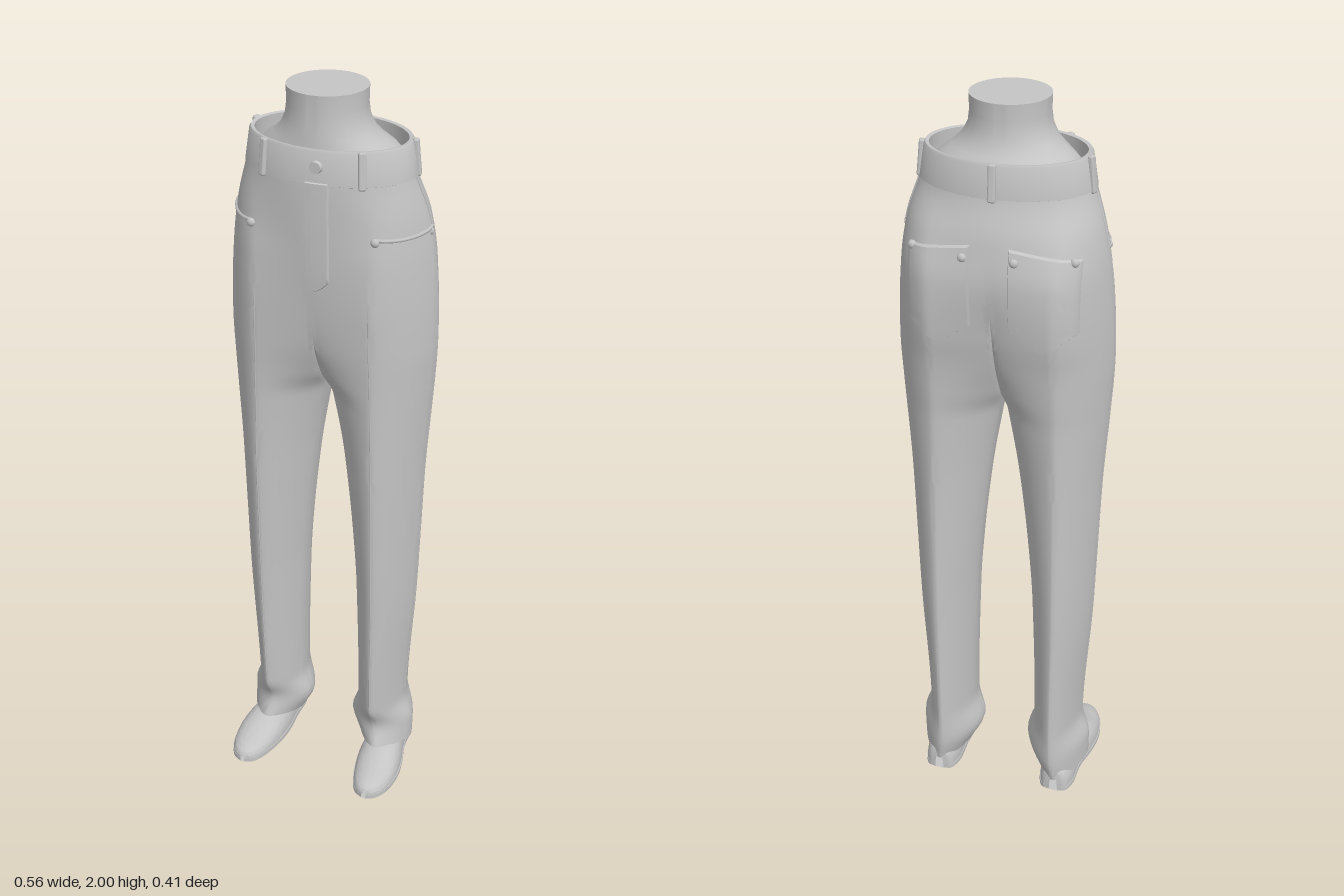
import * as THREE from 'three';
import { toCreasedNormals } from 'three/addons/utils/BufferGeometryUtils.js';
import { RoundedBoxGeometry } from 'three/addons/geometries/RoundedBoxGeometry.js';

const clay = new THREE.MeshStandardMaterial({ color: 0xc4c4c4, side: THREE.DoubleSide });
clay.name = 'light grey clay';

const V = (x, y, z) => new THREE.Vector3(x, y, z);
const mix = THREE.MathUtils.lerp;
const range = (n, f) => Array.from({ length: n + 1 }, (_, i) => f(i / n, i));

// Trouser sections, top to hem:
// y, inner x, crease x, outer x, front z, front centre z, back z, back centre z, waist roundness
const SECTIONS = [
  [1.87, 0, 0.13, 0.195, 0.118, 0.118, -0.14, -0.14, 1],
  [1.80, 0, 0.13, 0.212, 0.127, 0.127, -0.149, -0.149, 1],
  [1.70, 0, 0.14, 0.244, 0.122, 0.128, -0.184, -0.177, 0.6],
  [1.60, 0, 0.145, 0.262, 0.123, 0.126, -0.197, -0.188, 0.2],
  [1.45, 0, 0.15, 0.274, 0.12, 0.114, -0.186, -0.162, 0],
  [1.36, 0, 0.152, 0.276, 0.118, 0.098, -0.174, -0.135, 0],
  [1.27, 0, 0.155, 0.272, 0.115, 0.055, -0.168, -0.09, 0],
  [1.20, 0.01, 0.156, 0.268, 0.114, 0, -0.164, -0.05, 0],
  [1.00, 0.04, 0.16, 0.256, 0.112, -0.02, -0.162, -0.04, 0],
  [0.80, 0.063, 0.161, 0.25, 0.107, -0.02, -0.164, -0.04, 0],
  [0.60, 0.078, 0.162, 0.244, 0.101, -0.02, -0.166, -0.04, 0],
  [0.21, 0.088, 0.16, 0.224, 0.086, -0.02, -0.166, -0.04, 0],
  [0.13, 0.068, 0.162, 0.247, 0.06, -0.02, -0.165, -0.04, 0],
  [0.06, 0.098, 0.17, 0.246, 0.08, -0.02, -0.154, -0.04, 0],
];

// Monotone smooth interpolation of the section values at a height
function sectionAt(y) {
  const S = SECTIONS;
  let k = 0;
  while (k < S.length - 2 && y < S[k + 1][0]) k++;
  const h = S[k + 1][0] - S[k][0], t = THREE.MathUtils.clamp((y - S[k][0]) / h, 0, 1);
  const slope = (i, c) => (S[i + 1][c] - S[i][c]) / (S[i + 1][0] - S[i][0]);
  const tangent = (i, c) => {
    if (i === 0 || i === S.length - 1) return slope(Math.min(i, S.length - 2), c);
    const a = slope(i - 1, c), b = slope(i, c);
    return a * b <= 0 ? 0 : 2 * a * b / (a + b);
  };
  return S[k].map((v, c) => {
    const w = S[k + 1][c], t2 = t * t, t3 = t2 * t;
    return v * (2 * t3 - 3 * t2 + 1) + w * (3 * t2 - 2 * t3)
      + h * (tangent(k, c) * (t3 - 2 * t2 + t) + tangent(k + 1, c) * (t3 - t2));
  });
}

// Point on the left half of the cloth: s runs front centre 0, crease 1, side 2, back crease 3, back centre 4, inner wall 5
function clothPoint(y, s) {
  const [, xi, xc, X, zf, zcf, zb, zcb, round] = sectionAt(y);
  const side = -0.03, q = Math.min(Math.floor(s), 4), a = (s - q) * Math.PI / 2;
  const sn = Math.pow(Math.max(0, Math.sin(a)), 1.36), cs = Math.pow(Math.max(0, Math.cos(a)), 1.36);
  const [x, z] = [
    [xc - (xc - xi) * cs, mix(zcf, zf, sn)],
    [mix(xc, X, sn), mix(side, zf, cs)],
    [mix(xc, X, cs), mix(side, zb, sn)],
    [xc - (xc - xi) * sn, mix(zcb, zb, cs)],
    [xi, mix(zcb, zcf, s - 4)],
  ][q];
  if (q === 4) return V(x, y, z);
  const e = Math.PI * s / 4;
  return V(mix(x, X * Math.sin(e), round), y,
    mix(z, (zcf + zcb) / 2 + (zcf - zcb) / 2 * Math.cos(e), round));
}

// Depth of the cloth at a given x and y
function clothZ(x, y, back) {
  for (let s = 0; s < 2; s += 0.01) {
    const p = clothPoint(y, back ? 4 - s : s);
    if (p.x >= Math.abs(x)) return p.z;
  }
  return -0.03;
}

// Triangles between successive rings; flat faces on the centre plane are dropped
function loft(rings, flip = false, out = []) {
  const add = (...t) => {
    if (t.every(p => Math.abs(p.x) < 1e-5)) return;
    for (const p of flip ? t.reverse() : t) out.push(p.x, p.y, p.z);
  };
  for (let k = 0; k < rings.length - 1; k++)
    for (let j = 0; j < rings[k].length - 1; j++) {
      const a = rings[k][j], b = rings[k][j + 1], c = rings[k + 1][j], d = rings[k + 1][j + 1];
      add(a, c, d);
      add(a, d, b);
    }
  return out;
}

function solid(positions, angle = 0.7) {
  const g = new THREE.BufferGeometry();
  g.setAttribute('position', new THREE.Float32BufferAttribute(positions, 3));
  return toCreasedNormals(g, angle);
}

const mirrored = rings => rings.map(r => r.map(p => V(-p.x, p.y, p.z)));
const oval = (y, rx, rz, cz) => range(64, t => V(rx * Math.sin(t * 2 * Math.PI), y, cz + rz * Math.cos(t * 2 * Math.PI)));

// Thin panel draped on the cloth, with a bevelled edge turned down to the surface
function panel(x0, x1, top, bottom, back, lift) {
  const n = 18, bevel = 0.004;
  const at = i => THREE.MathUtils.clamp((i - 1) / (n - 2), 0, 1);
  const rim = i => (i === 0 ? -bevel : i === n ? bevel : 0);
  return range(n, (_, k) => range(n, (_, i) => {
    const u = at(i), x = mix(x0, x1, u) + Math.sign(x1 - x0) * rim(i);
    const y = mix(top(u), bottom(u), at(k)) - rim(k);
    const up = rim(i) || rim(k) ? -0.002 : lift;
    return V(x, y, clothZ(x, y, back) + (back ? -up : up));
  }));
}

// Shoe stations: z, half width, height
const SHOE = [
  [-0.153, 0.012, 0.05], [-0.145, 0.036, 0.075], [-0.11, 0.05, 0.085], [-0.04, 0.053, 0.09], [0.03, 0.064, 0.085],
  [0.08, 0.066, 0.074], [0.13, 0.059, 0.055], [0.17, 0.046, 0.044], [0.195, 0.028, 0.034], [0.206, 0.006, 0.02],
];
const shoeCurve = new THREE.CatmullRomCurve3(SHOE.map(s => V(...s)));
const shoeX = z => mix(0.172, 0.191, THREE.MathUtils.smoothstep(z, -0.08, 0.17));

function named(name, geometry) {
  const m = new THREE.Mesh(geometry, clay);
  m.name = name;
  return m;
}

function shoe(side) {
  const g = new THREE.Group();
  g.name = side > 0 ? 'leftShoe' : 'rightShoe';
  const upper = range(48, t => {
    const { x: z, y: w, z: h } = shoeCurve.getPoint(t);
    return range(24, u => {
      const a = u * Math.PI;
      return V(side * (shoeX(z) + w * 0.96 * Math.cos(a)), 0.01 + (h - 0.01) * Math.pow(Math.sin(a), 0.8), z);
    });
  });
  g.add(named('shoeUpper', solid(loft(upper, side > 0))));
  // Sole and heel slabs follow the shoe outline
  for (const [name, t0, t1] of [['heel', 0, 0.348], ['sole', 0.352, 1]]) {
    const slab = range(30, t => {
      const { x: z, y: w } = shoeCurve.getPoint(mix(t0, t1, t));
      const l = side * (shoeX(z) - w), r = side * (shoeX(z) + w);
      return [V(l, 0, z), V(r, 0, z), V(r, 0.013, z), V(l, 0.013, z), V(l, 0, z)];
    });
    g.add(named(name, solid(loft(slab, side < 0))));
  }
  return g;
}

export function createModel() {
  const model = new THREE.Group();
  model.name = 'trousers';

  // Cloth: both halves, the hem tilted down to the heel and closed underneath
  const half = range(110, t => {
    const y = mix(1.87, 0.06, t), low = 1 - THREE.MathUtils.smoothstep(y, 0.06, 0.25);
    return range(60, u => {
      const p = clothPoint(y, u * 5);
      p.y += low * (p.z + 0.03) * 0.18;
      return p;
    });
  });
  half.push(half.at(-1).map(p => p.clone().lerp(V(0.172, 0.07, -0.04), 0.9)));
  model.add(named('trouserCloth', solid(loft(mirrored(half), true, loft(half)))));

  // Body stump inside the waist
  const body = [[1.8, 0.198, 0.13, -0.0105], [1.835, 0.188, 0.125, -0.0105], [1.86, 0.163, 0.118, -0.006],
    [1.88, 0.137, 0.109, 0.002], [1.9, 0.115, 0.102, 0.007], [1.93, 0.1, 0.097, 0.01], [1.96, 0.096, 0.095, 0.01],
    [2, 0.097, 0.096, 0.01], [2, 0.0001, 0.0001, 0.01]];
  model.add(named('bodyStump', solid(loft(body.map(b => oval(...b)), true))));

  // Waistband
  const band = [[1.796, 0.209, 0.134], [1.799, 0.2145, 0.1405], [1.876, 0.202, 0.136], [1.882, 0.198, 0.133],
    [1.88, 0.189, 0.125], [1.82, 0.193, 0.127]];
  model.add(named('waistband', solid(loft(band.map(([y, rx, rz]) => oval(y, rx, rz, -0.0105))))));

  // Belt loops, leaning with the band
  for (const a of [0.63, -0.63, 1.74, -1.74, Math.PI]) {
    const loop = named('beltLoop', new RoundedBoxGeometry(0.019, 0.09, 0.014, 2, 0.005));
    loop.position.set(0.21 * Math.sin(a), 1.838, -0.0105 + 0.14 * Math.cos(a));
    loop.rotation.set(-0.1, Math.atan2(Math.sin(a) / 0.21, Math.cos(a) / 0.14), 0, 'YXZ');
    model.add(loop);
  }

  // Fly and waist button
  const fly = panel(-0.006, 0.047, () => 1.803, u => 1.525 + 0.03 * u * u, false, 0.007);
  model.add(named('fly', solid(loft(fly))));
  const button = named('waistButton', new THREE.CylinderGeometry(0.014, 0.016, 0.01, 20));
  button.rotation.x = Math.PI / 2;
  button.position.set(0.02, 1.842, 0.13);
  model.add(button);

  for (const side of [1, -1]) {
    const rivet = (x, y, z) => {
      const r = named('rivet', new THREE.SphereGeometry(0.011, 14, 10));
      r.position.set(side * x, y, z);
      r.scale.z = 0.7;
      model.add(r);
    };
    const seam = (name, pts, r) => model.add(named(name,
      new THREE.TubeGeometry(new THREE.CatmullRomCurve3(pts.map(p => V(side * p.x, p.y, p.z))), 40, r, 6)));

    // Front pocket mouth, side seams and pressed front crease
    seam('frontPocketEdge', range(12, t => clothPoint(1.675 - 0.006 * Math.sin(t * Math.PI), mix(1, 2.05, t))), 0.005);
    seam('pocketSideSeam', range(8, t => clothPoint(mix(1.675, 1.8, t), 2.05)), 0.004);
    seam('sideSeam', range(20, t => clothPoint(mix(1.67, 0.22, t), 2)), 0.002);
    seam('frontCrease', range(20, t => clothPoint(mix(1.5, 0.22, t), 1)), 0.002);
    const r = clothPoint(1.67, 1);
    rivet(r.x, r.y, r.z + 0.003);
    const q = clothPoint(1.665, 1.95);
    rivet(q.x - 0.004, q.y, q.z);

    // Back pocket
    const top = u => mix(1.69, 1.665, u);
    const bottom = u => 1.44 + 0.05 * Math.abs(u - 0.5) * 2;
    const pocket = panel(side * 0.05, side * 0.208, top, bottom, true, 0.009);
    model.add(named('backPocket', solid(loft(pocket, side > 0))));
    for (const x of [0.062, 0.196]) rivet(x, 1.665, clothZ(x, 1.665, true) - 0.008);

    model.add(shoe(side));
  }
  return model;
}
